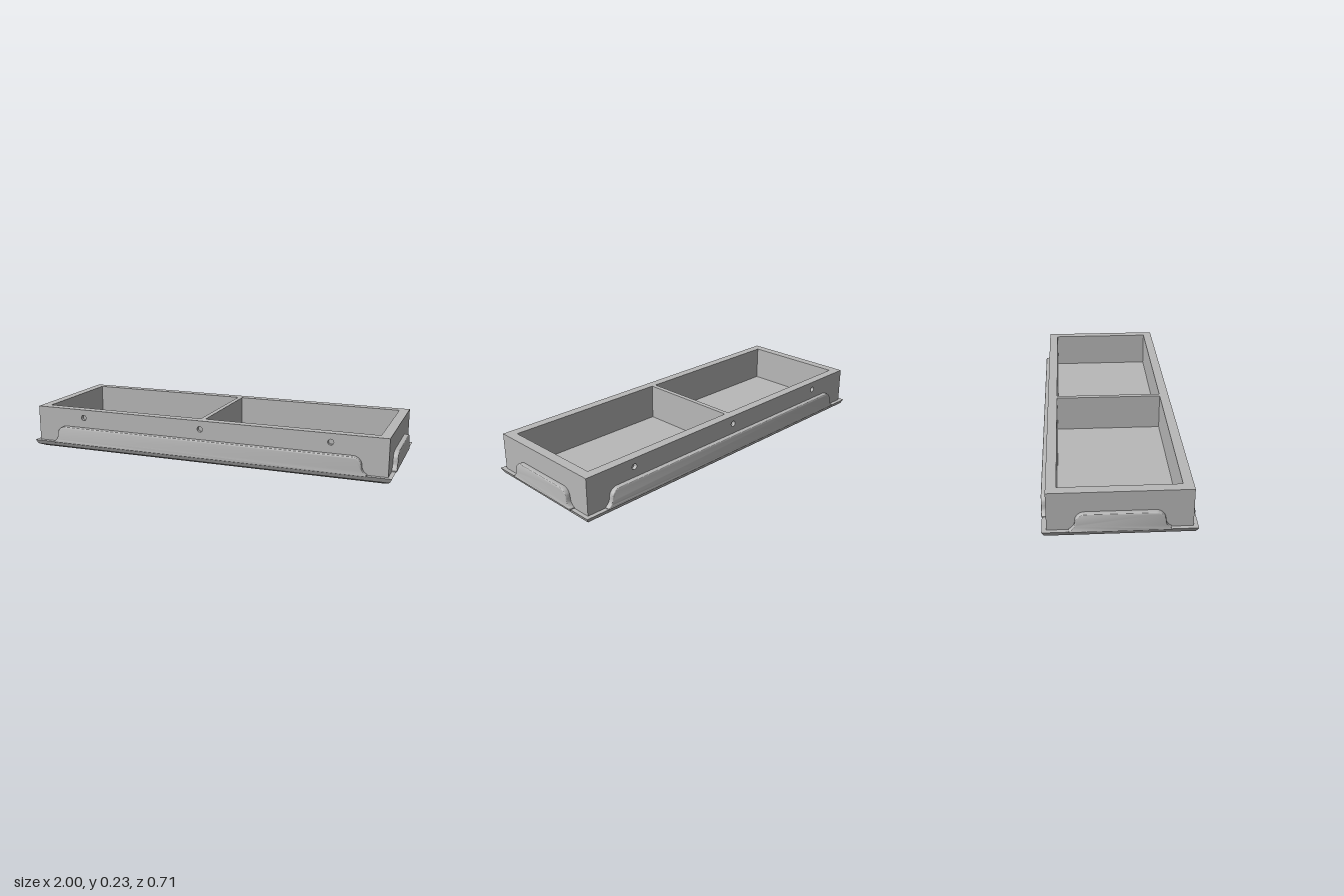
import * as THREE from 'three';
import { toCreasedNormals } from 'three/addons/utils/BufferGeometryUtils.js';

const grey = new THREE.MeshStandardMaterial({ color: 0xb8b8b8 });
grey.name = 'plain grey';

const TOP = 0.23, LOW = 0.03, LIP = 0.038;
const BX = 0.975, BZ = 0.332, SKIN = 0.02;

function rect(Kind, x0, y0, x1, y1) {
  const s = new Kind();
  s.moveTo(x0, y0).lineTo(x1, y0).lineTo(x1, y1).lineTo(x0, y1).closePath();
  return s;
}

function addMesh(parent, name, geometry) {
  const m = new THREE.Mesh(geometry, grey);
  m.name = name;
  parent.add(m);
  return m;
}

// Rectangular base that flares outward through two chamfers
function baseGeometry() {
  const rings = [[0, 0.957, 0.313], [0.015, 0.985, 0.343], [LIP, 0.996, 0.354]];
  const pos = [], idx = [];
  for (const [y, x, z] of rings) pos.push(-x, y, z, x, y, z, x, y, -z, -x, y, -z);
  for (let r = 0; r < rings.length - 1; r++) {
    for (let i = 0; i < 4; i++) {
      const a = r * 4 + i, b = r * 4 + (i + 1) % 4;
      idx.push(a, b, b + 4, a, b + 4, a + 4);
    }
  }
  idx.push(0, 3, 2, 0, 2, 1, 8, 9, 10, 8, 10, 11);
  const g = new THREE.BufferGeometry();
  g.setAttribute('position', new THREE.Float32BufferAttribute(pos, 3));
  g.setIndex(idx);
  const flat = g.toNonIndexed();
  flat.computeVertexNormals();
  return flat;
}

// Raised skirt with S-curved ends; mid is the half width halfway up the curve
function skirtGeometry(mid) {
  const r = 0.046, edge = 0.006, pts = [];
  const rad = THREE.MathUtils.degToRad;
  const right = [];
  for (let i = 0; i <= 8; i++) {
    const a = rad(245 - 65 * i / 8);
    right.push([mid + r + r * Math.cos(a), LIP + r + r * Math.sin(a)]);
  }
  for (let i = 1; i <= 10; i++) {
    const a = rad(90 * i / 10);
    right.push([mid - r + r * Math.cos(a), LIP + r + r * Math.sin(a)]);
  }
  right.unshift([right[0][0], 0.034]);
  for (const [x, y] of right) pts.push(new THREE.Vector2(x, y));
  for (const [x, y] of right.reverse()) pts.push(new THREE.Vector2(-x, y));
  const g = new THREE.ExtrudeGeometry(new THREE.Shape(pts), {
    depth: 0.026, bevelEnabled: true, bevelThickness: edge,
    bevelSize: edge, bevelOffset: -edge, bevelSegments: 4,
  });
  return toCreasedNormals(g, 0.6);
}

// Long outer wall panel with three screw holes
function panelGeometry() {
  const s = rect(THREE.Shape, -BX, LOW, BX, TOP);
  for (const x of [-0.69, 0, 0.69]) {
    const hole = new THREE.Path();
    hole.absarc(x, 0.185, 0.015, 0, Math.PI * 2, true);
    s.holes.push(hole);
  }
  const g = new THREE.ExtrudeGeometry(s, { depth: SKIN, bevelEnabled: false, curveSegments: 24 });
  return toCreasedNormals(g, 0.6);
}

export function createModel() {
  const model = new THREE.Group();
  model.name = 'twoCompartmentTray';

  addMesh(model, 'base', baseGeometry());

  // Tray core with two open compartments
  const z = BZ - SKIN;
  const core = rect(THREE.Shape, -BX, -z, BX, z);
  core.holes.push(rect(THREE.Path, -0.925, -0.283, -0.013, 0.283));
  core.holes.push(rect(THREE.Path, 0.013, -0.283, 0.925, 0.283));
  const coreGeo = new THREE.ExtrudeGeometry(core, { depth: TOP - LOW, bevelEnabled: false });
  coreGeo.rotateX(-Math.PI / 2).translate(0, LOW, 0);
  addMesh(model, 'trayWalls', coreGeo);

  // Front and back: drilled panel and long skirt
  const panel = panelGeometry();
  const longSkirt = skirtGeometry(0.847);
  const endSkirt = skirtGeometry(0.205);
  for (const [label, turn] of [['front', 0], ['back', Math.PI]]) {
    const side = new THREE.Group();
    side.name = label + 'Side';
    addMesh(side, label + 'Panel', panel).position.z = z;
    addMesh(side, label + 'Skirt', longSkirt).position.z = 0.357 - 0.032;
    side.rotation.y = turn;
    model.add(side);
  }

  // Short skirts on the two ends
  for (const [label, turn] of [['left', 1], ['right', -1]]) {
    const end = new THREE.Group();
    end.name = label + 'End';
    addMesh(end, label + 'Skirt', endSkirt).position.z = 1 - 0.032;
    end.rotation.y = turn * Math.PI / 2;
    model.add(end);
  }
  return model;
}
